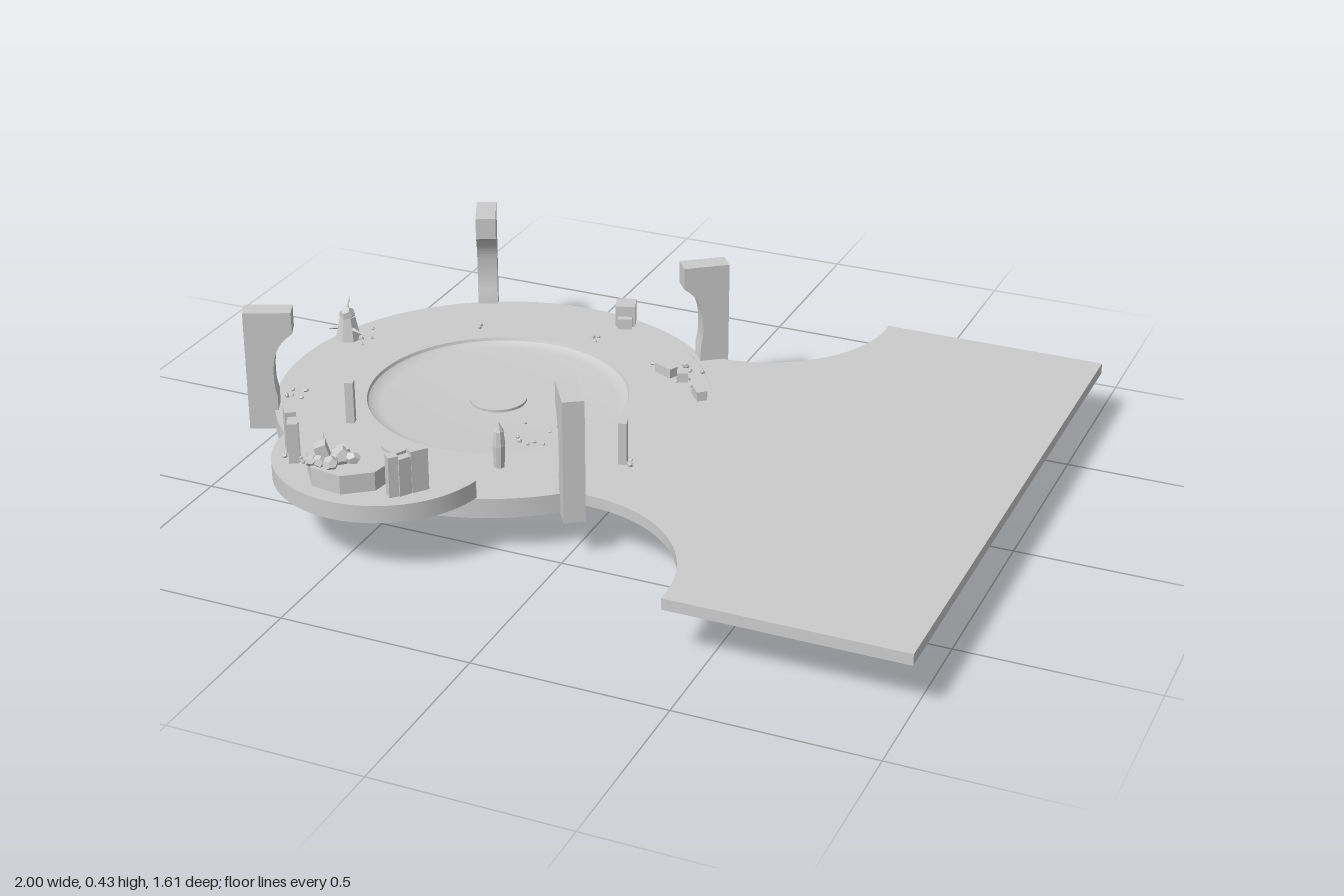
import * as THREE from 'three';
import { toCreasedNormals } from 'three/addons/utils/BufferGeometryUtils.js';

const CX = -0.415; // centre of the arena disc on x
const TOP = 0.158; // arena floor height

export function createModel() {
  const model = new THREE.Group();
  const mat = new THREE.MeshStandardMaterial({ color: 0xcccccc });
  const flat = new THREE.MeshStandardMaterial({ color: 0xcccccc, flatShading: true });

  let seed = 7;
  const rand = (a, b) => {
    seed = (seed * 16807) % 2147483647;
    return a + (b - a) * seed / 2147483647;
  };
  const add = (name, geo, x = 0, y = 0, z = 0, parent = model, material = mat) => {
    const mesh = new THREE.Mesh(geo, material);
    mesh.name = name;
    mesh.position.set(x, y, z);
    parent.add(mesh);
    return mesh;
  };
  const extrude = (shape, depth) => toCreasedNormals(
    new THREE.ExtrudeGeometry(shape, { depth, bevelEnabled: false, curveSegments: 48 }), 0.5);
  // Slab drawn in x,z that hangs below its position
  const slab = (shape, depth) => extrude(shape, depth).rotateX(Math.PI / 2);
  // Box standing on y, turned about the vertical
  const block = (name, x, y, z, w, h, d, turn = 0, parent = model) => {
    const b = add(name, new THREE.BoxGeometry(w, h, d), x, y + h / 2, z, parent);
    b.rotation.y = turn;
    return b;
  };
  const stone = (name, x, y, z, r, parent = model) => {
    const s = add(name, new THREE.DodecahedronGeometry(r, 0), x, y + r * 0.5, z, parent, flat);
    s.rotation.set(rand(0, 3), rand(0, 3), rand(0, 3));
    s.scale.set(rand(0.7, 1.3), rand(0.6, 1), rand(0.7, 1.3));
  };

  // Arena disc with a shallow round basin
  const profile = [[0, 0.105], [0.585, 0.105], [0.585, TOP], [0.345, TOP], [0.342, 0.15],
    [0.332, 0.143], [0.31, 0.14], [0.075, 0.138], [0.075, 0.145], [0, 0.145]]
    .map(([r, y]) => new THREE.Vector2(r, y));
  add('arenaFloor', toCreasedNormals(new THREE.LatheGeometry(profile, 96), 0.6), CX);

  // Approach plate with concave corners
  const plate = new THREE.Shape();
  plate.moveTo(1, 0.805);
  plate.lineTo(1, -0.805);
  plate.lineTo(0.395, -0.805);
  plate.absarc(0.035, -0.785, 0.36, 0, Math.PI / 2, false);
  plate.absarc(CX, 0, 0.56, -0.86, 0.86, false);
  plate.absarc(0.035, 0.785, 0.36, -Math.PI / 2, 0, false);
  plate.lineTo(0.395, 0.805);
  add('approachPlate', slab(plate, 0.03), 0, 0.16, 0);

  // Pillars: straight outside, arched in towards the arena at the top
  const pillar = new THREE.Shape();
  pillar.moveTo(-0.015, 0.105);
  pillar.lineTo(0.062, 0.105);
  pillar.lineTo(0.062, 0.435);
  pillar.lineTo(-0.062, 0.435);
  pillar.lineTo(-0.062, 0.375);
  pillar.quadraticCurveTo(-0.015, 0.345, -0.01, 0.285);
  pillar.quadraticCurveTo(-0.005, 0.235, -0.015, 0.2);
  const pillarGeo = extrude(pillar, 0.055).translate(0, 0, -0.0275);
  [[-0.7, -0.515, 245], [-0.003, -0.42, -37], [-0.92, 0.3, 155], [-0.01, 0.42, 57]]
    .forEach(([x, z, deg]) => {
      add('pillar', pillarGeo, x, 0, z).rotation.y = -deg * Math.PI / 180;
    });

  // Half-round stage and the tilted half disc running under it
  const stage = new THREE.Group();
  stage.name = 'stage';
  stage.position.set(-0.485, 0, 0.495);
  stage.rotation.y = -0.16;
  model.add(stage);
  const half = new THREE.Shape();
  half.absarc(0, 0, 0.28, 0, Math.PI, false);
  half.closePath();
  add('stageFloor', slab(half, 0.047), 0, 0.205, 0, stage);
  const bowl = new THREE.Shape();
  bowl.absarc(0, 0, 0.225, Math.PI, Math.PI * 2, false);
  bowl.closePath();
  add('tiltedHalfDisc', extrude(bowl, 0.062), 0.008, 0.185, 0, stage).rotation.x = 0.927;

  // Octagonal altar, its blocks, and the standing slabs beside it
  add('altar', new THREE.CylinderGeometry(0.112, 0.112, 0.05, 8), -0.505, 0.23, 0.625, model, flat)
    .rotation.y = 0.25;
  block('altarBlock', -0.595, 0.205, 0.535, 0.065, 0.05, 0.055, 0.6);
  block('altarBlock', -0.412, 0.205, 0.557, 0.055, 0.06, 0.06, -0.45);
  const brokenSlab = (x, z, turn) => {
    const g = new THREE.Group();
    g.name = 'brokenSlab';
    g.position.set(x, 0.205, z);
    g.rotation.y = turn;
    model.add(g);
    block('slabPanel', 0, 0, -0.025, 0.028, 0.112, 0.045, 0, g);
    block('slabPanel', 0.003, 0, 0.012, 0.022, 0.1, 0.04, 0.1, g);
    block('slabPanel', -0.002, 0, 0.042, 0.026, 0.108, 0.026, -0.1, g);
  };
  brokenSlab(-0.333, 0.652, -0.65);
  brokenSlab(-0.69, 0.592, 0.65);

  // Rubble heap on the altar
  for (let i = 0; i < 9; i++)
    stone('altarRubble', -0.53 + rand(-0.04, 0.05), 0.255, 0.665 + rand(-0.045, 0.045), rand(0.012, 0.024));
  block('altarShard', -0.555, 0.255, 0.675, 0.03, 0.045, 0.035, 0.5).rotation.z = 0.3;
  block('altarShard', -0.515, 0.255, 0.645, 0.025, 0.03, 0.03, 1).rotation.x = 0.3;

  // Small standing stones on the arena
  add('pointedStone', new THREE.LatheGeometry([[0.014, 0], [0.017, 0.06], [0.013, 0.1], [0, 0.127]]
    .map(([r, y]) => new THREE.Vector2(r, y)), 8), -0.23, TOP, 0.37, model, flat);
  block('post', 0.045, TOP, 0.228, 0.022, 0.115, 0.026, 0.3);
  block('post', -0.69, TOP, 0.3, 0.022, 0.115, 0.022, 0.3);
  block('rearBlock', -0.285, TOP, -0.54, 0.055, 0.06, 0.055, 0.35);
  block('rearBlockFoot', -0.275, TOP, -0.51, 0.04, 0.03, 0.03, 0.35);

  // Weathered idol with a tilted spike
  const idol = new THREE.Group();
  idol.name = 'idol';
  idol.position.set(-0.945, TOP, -0.145);
  model.add(idol);
  add('idolBody', new THREE.CylinderGeometry(0.022, 0.036, 0.065, 7), 0, 0.0325, 0, idol, flat);
  add('idolHead', new THREE.DodecahedronGeometry(0.022), 0, 0.072, 0.002, idol, flat);
  add('idolSpike', new THREE.ConeGeometry(0.006, 0.06, 5), 0, 0.096, -0.006, idol, flat).rotation.x = -0.4;
  for (const s of [-1, 1])
    add('idolArm', new THREE.ConeGeometry(0.01, 0.055, 5), 0.032 * s, 0.03, 0.012, idol, flat).rotation.z = -s * 1.9;

  // Fallen blocks by the entrance
  [[-0.055, -0.285, 0.06, -0.45], [0, -0.265, 0.03, 0.4], [0.08, -0.19, 0.05, -0.9]].forEach(([x, z, l, t]) =>
    block('fallenBlock', x, TOP, z, l, 0.026, 0.028, t));

  // Pebbles, loose clusters around the floor: x, z, spread, count
  [[-0.02, -0.27, 0.07, 6], [0.05, 0.22, 0.025, 4], [-0.88, 0.22, 0.04, 5], [-0.9, -0.17, 0.06, 5],
    [-0.12, -0.33, 0.03, 3], [-0.64, -0.35, 0.01, 2], [-0.33, -0.4, 0.02, 3], [-0.23, 0.37, 0.015, 2]]
    .forEach(([x, z, s, n]) => {
      for (let i = 0; i < n; i++) stone('pebble', x + rand(-s, s), TOP, z + rand(-s, s), rand(0.004, 0.009));
    });
  for (let i = 0; i < 12; i++)
    stone('basinPebble', -0.2 + rand(-0.1, 0.07), 0.14, 0.15 + rand(-0.09, 0.07), rand(0.003, 0.007));
  for (let i = 0; i < 8; i++)
    stone('stagePebble', -0.68 + (i % 2) * 0.34 + rand(-0.04, 0.04), 0.205, 0.6 + rand(-0.05, 0.06), rand(0.005, 0.01));
  return model;
}
